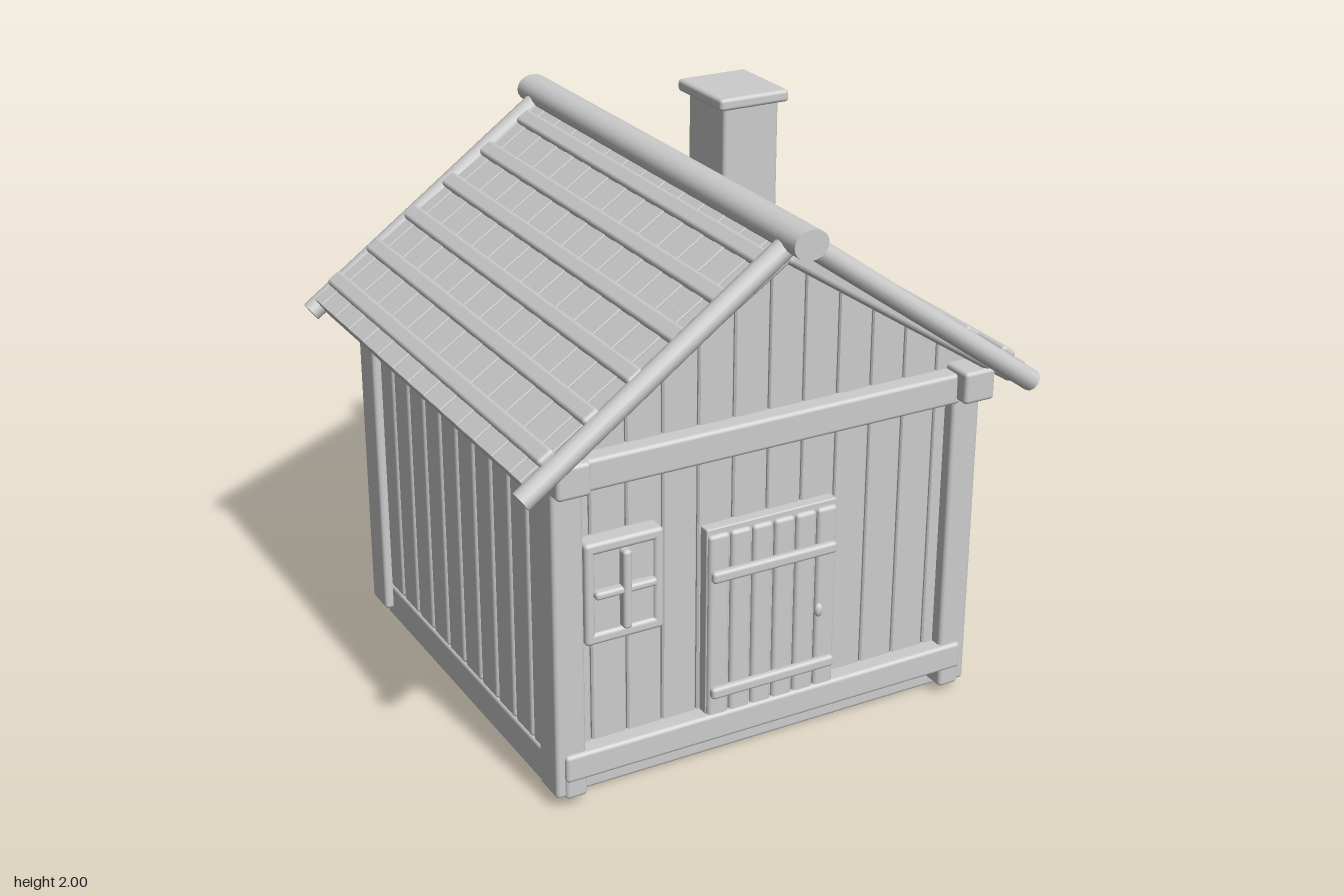
import * as THREE from 'three';
import { RoundedBoxGeometry } from 'three/addons/geometries/RoundedBoxGeometry.js';

export function createModel() {
  const model = new THREE.Group();
  model.name = 'cabin';
  const grey = new THREE.MeshStandardMaterial({ color: 0xcccccc });
  grey.name = 'plain grey';

  const add = (name, geometry, parent = model) => {
    const mesh = new THREE.Mesh(geometry, grey);
    mesh.name = name;
    parent.add(mesh);
    return mesh;
  };
  // Softly rounded timber given by its extents
  const box = (name, x0, x1, y0, y1, z0, z1, parent = model, round = 0.014) => {
    const w = x1 - x0, h = y1 - y0, d = z1 - z0;
    const r = Math.min(round, 0.4 * Math.min(w, h, d));
    const mesh = add(name, new RoundedBoxGeometry(w, h, d, 2, r), parent);
    mesh.position.set((x0 + x1) / 2, (y0 + y1) / 2, (z0 + z1) / 2);
    return mesh;
  };

  // Foundation
  box('base', -0.78, 0.78, 0, 0.135, -0.72, 0.72);

  // Front and back walls: planks cut to the roof line, with cross beams
  const underside = (x) => 1.8 - 0.655 * Math.abs(x);
  for (const f of [1, -1]) {
    const wall = new THREE.Group();
    wall.name = f > 0 ? 'frontWall' : 'backWall';
    wall.rotation.y = f > 0 ? 0 : Math.PI;
    model.add(wall);
    for (let i = -6; i < 6; i++) {
      const x0 = i * 0.131 + 0.002, x1 = x0 + 0.127;
      const shape = new THREE.Shape([
        new THREE.Vector2(x0, 0.1), new THREE.Vector2(x1, 0.1),
        new THREE.Vector2(x1, underside(x1)), new THREE.Vector2(x0, underside(x0)),
      ]);
      const plank = add('gablePlank', new THREE.ExtrudeGeometry(shape, {
        depth: 0.03, bevelThickness: 0.006, bevelSize: 0.006, bevelOffset: -0.006, bevelSegments: 1,
      }), wall);
      plank.position.z = 0.706;
    }
    box('bottomBeam', -0.78, 0.78, 0.1, 0.2, 0.7, 0.805, wall);
    box('topBeam', -0.72, 0.72, 1.14, 1.25, 0.7, 0.805, wall);
  }

  // Side walls, corner posts and lengthwise logs
  for (const s of [1, -1]) {
    const side = new THREE.Group();
    side.name = s > 0 ? 'leftWall' : 'rightWall';
    side.rotation.y = s > 0 ? 0 : Math.PI;
    model.add(side);
    for (let i = -5; i < 5; i++) {
      const z = i * 0.1373;
      box('sidePlank', 0.735, 0.78, 0.135, 1.17, z + 0.004, z + 0.1333, side);
    }
    box('sillLog', 0.7, 0.78, 0.035, 0.13, -0.8, 0.8, side);
    box('topPlate', 0.7, 0.82, 1.155, 1.27, -0.855, 0.855, side);
    for (const z of [0.725, -0.725]) {
      box('cornerPost', 0.7, 0.81, 0.04, 1.18, z - 0.065, z + 0.065, side);
    }
  }

  // Roof: each slope lies in a tilted frame, x running down the slope
  const tilt = Math.atan(0.655);
  for (const s of [1, -1]) {
    const slope = new THREE.Group();
    slope.name = s > 0 ? 'leftRoof' : 'rightRoof';
    slope.position.y = 1.78;
    slope.rotation.set(0, s > 0 ? 0 : Math.PI, -tilt);
    model.add(slope);
    box('roofDeck', -0.012, 1.075, 0, 0.07, -0.85, 0.85, slope, 0.02);
    const count = 26, width = 1.7 / count;
    for (let i = 0; i < count; i++) {
      const z = -0.85 + i * width;
      box('roofSlat', -0.04, 1.075, 0.05, i % 2 ? 0.085 : 0.08, z, z + width, slope, 0.003);
    }
    for (const x of [0.1, 0.25, 0.4, 0.553, 0.706, 0.86]) {
      const u = (x - 0.09 * Math.sin(tilt)) / Math.cos(tilt);
      box('roofBatten', u - 0.032, u + 0.032, 0.066, 0.102, -0.87, 0.87, slope);
    }
  }

  // Gable poles along the roof edges
  for (const s of [1, -1]) for (const z of [0.877, -0.877]) {
    const a = new THREE.Vector3(0, 1.886, z), b = new THREE.Vector3(0.953 * s, 1.204, z);
    const dir = b.clone().sub(a);
    const pole = add('gablePole', new THREE.CylinderGeometry(0.037, 0.037, dir.length(), 12));
    pole.position.copy(a).add(b).multiplyScalar(0.5);
    pole.quaternion.setFromUnitVectors(new THREE.Vector3(0, 1, 0), dir.normalize());
  }

  // Ridge log, slightly flattened
  const ridge = new THREE.CylinderGeometry(1, 1, 1.942, 20).rotateX(Math.PI / 2).scale(0.063, 0.051, 1);
  add('ridgeLog', ridge).position.y = 1.886;

  // Chimney
  box('chimney', 0.364, 0.588, 1.525, 1.97, -0.439, -0.184);
  box('chimneyCap', 0.335, 0.615, 1.955, 2, -0.47, -0.157);

  // Door
  const door = new THREE.Group();
  door.name = 'door';
  model.add(door);
  box('doorFrame', -0.25, 0.25, 0.16, 0.89, 0.73, 0.782, door, 0.005);
  for (let i = -3; i < 3; i++) {
    box('doorPlank', i * 0.083 + 0.003, i * 0.083 + 0.08, 0.17, 0.87, 0.76, 0.797, door);
  }
  for (const y of [0.285, 0.722]) {
    box('doorBatten', -0.24, 0.238, y - 0.021, y + 0.021, 0.785, 0.816, door);
  }
  const knob = add('doorKnob', new THREE.SphereGeometry(1, 14, 10).scale(0.016, 0.025, 0.014), door);
  knob.position.set(0.155, 0.515, 0.834);

  // Window
  const win = new THREE.Group();
  win.name = 'window';
  model.add(win);
  box('windowPane', -0.69, -0.43, 0.6, 0.95, 0.73, 0.795, win, 0.003);
  for (const x of [-0.685, -0.437]) box('windowStile', x - 0.018, x + 0.018, 0.592, 0.957, 0.725, 0.806, win);
  for (const y of [0.613, 0.936]) box('windowRail', -0.703, -0.419, y - 0.021, y + 0.021, 0.725, 0.806, win);
  box('windowMullion', -0.578, -0.547, 0.635, 0.918, 0.788, 0.832, win);
  box('windowCrossbar', -0.675, -0.452, 0.762, 0.79, 0.788, 0.826, win);

  return model;
}
